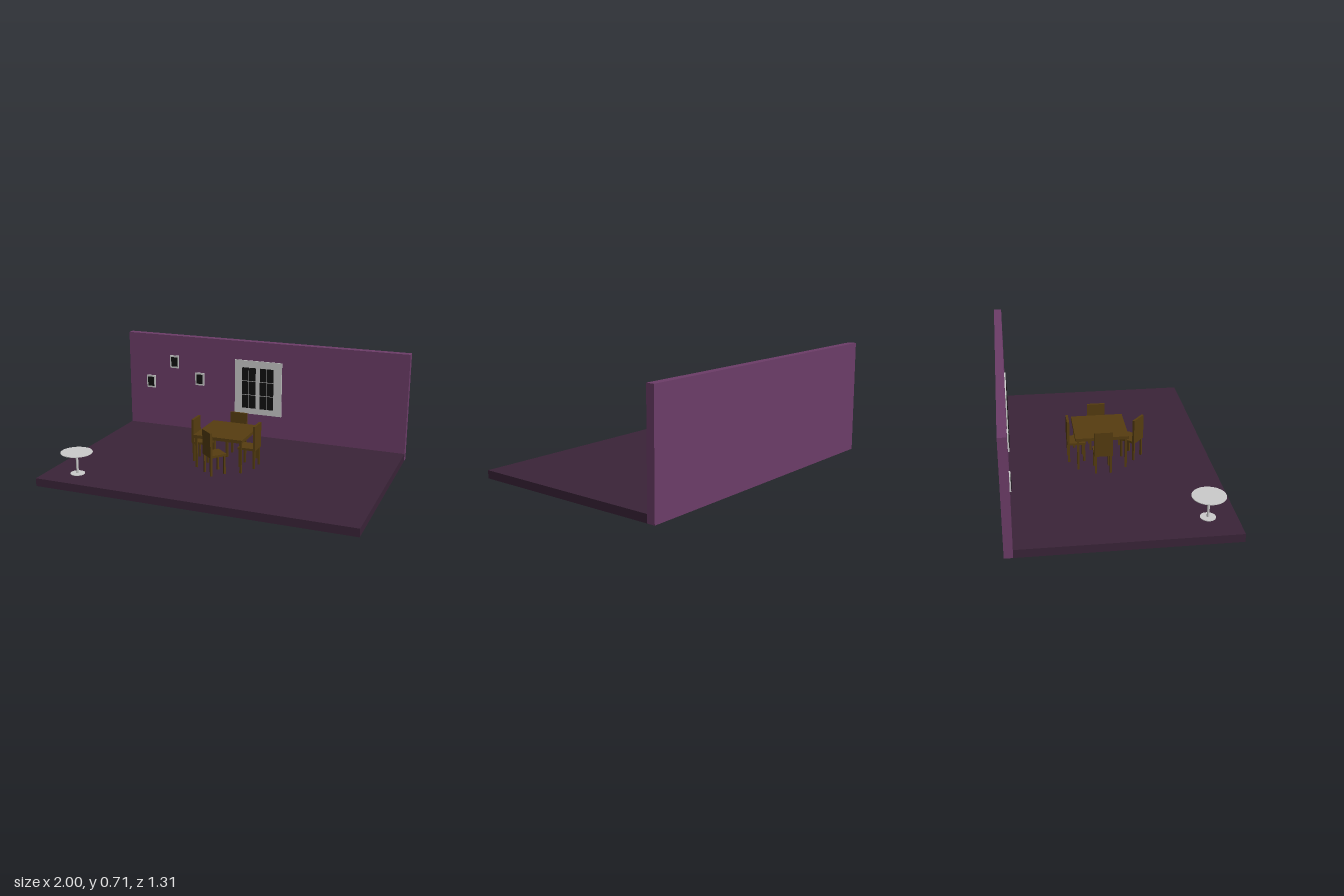
import * as THREE from 'three';

const mat = (color) => new THREE.MeshStandardMaterial({ color });
const grey = mat(0xcccccc), wood = mat(0x563d10), wallMat = mat(0x6c3d68);
const floorMat = mat(0x3a2438), dark = mat(0x101010);

const FLOOR = 0.05; // height of the floor surface
const WALL_Z = -0.605; // front face of the wall

function add(parent, name, geometry, material, x, y, z) {
  const m = new THREE.Mesh(geometry, material);
  m.name = name;
  m.position.set(x, y, z);
  parent.add(m);
  return m;
}

// box given by its extents [min, max] on each axis
function box(parent, name, material, [x0, x1], [y0, y1], [z0, z1]) {
  return add(parent, name, new THREE.BoxGeometry(x1 - x0, y1 - y0, z1 - z0), material,
    (x0 + x1) / 2, (y0 + y1) / 2, (z0 + z1) / 2);
}

function group(parent, name, x = 0, y = 0, z = 0) {
  const g = new THREE.Group();
  g.name = name;
  g.position.set(x, y, z);
  parent.add(g);
  return g;
}

// four square legs, mirrored about the middle
function legs(parent, name, dx, dz, height, size) {
  for (const sx of [-1, 1]) for (const sz of [-1, 1])
    add(parent, name, new THREE.BoxGeometry(size, height, size), wood, sx * dx, height / 2, sz * dz);
}

// chair with its backrest on the +z side before turning
function chair(parent, name, x, z, turn, scale = 1) {
  const g = group(parent, name, x, FLOOR, z);
  g.rotation.y = turn;
  g.scale.set(scale, 1, scale);
  const w = 0.0565, d = 0.0575;
  legs(g, 'chairLeg', w - 0.011, d - 0.01, 0.12, 0.013);
  box(g, 'seat', wood, [-w, w], [0.118, 0.132], [-d, d]);
  box(g, 'backrest', wood, [-w, w], [0.121, 0.277], [d - 0.014, d + 0.0005]);
}

function picture(parent, x, y) {
  const g = group(parent, 'picture', x, y, WALL_Z);
  box(g, 'pictureFrame', grey, [-0.033, 0.033], [-0.045, 0.045], [0, 0.008]);
  box(g, 'pictureCanvas', dark, [-0.023, 0.023], [-0.033, 0.033], [0, 0.011]);
}

export function createModel() {
  const room = new THREE.Group();
  room.name = 'diningRoom';

  // Floor and back wall
  box(room, 'floor', floorMat, [-1, 1], [0, FLOOR], [WALL_Z, 0.655]);
  box(room, 'wall', wallMat, [-1, 1], [0, 0.715], [-0.655, WALL_Z]);

  // Window: frame with two sashes of two by three panes
  const win = group(room, 'window');
  box(win, 'windowFrame', grey, [-0.19, 0.149], [0.208, 0.585], [WALL_Z, WALL_Z + 0.008]);
  for (const x0 of [-0.134, -0.006])
    for (let c = 0; c < 2; c++)
      for (let r = 0; r < 3; r++) {
        const x = x0 + c * 0.051, y = 0.25 + r * 0.097;
        box(win, 'windowPane', dark, [x, x + 0.046], [y, y + 0.092], [WALL_Z, WALL_Z + 0.012]);
      }

  // Pictures on the wall
  for (const [x, y] of [[-0.647, 0.528], [-0.455, 0.42], [-0.833, 0.37]]) picture(room, x, y);

  // Dining table
  const table = group(room, 'diningTable', -0.023, FLOOR, -0.032);
  box(table, 'tableTop', wood, [-0.16, 0.16], [0.196, 0.216], [-0.164, 0.164]);
  legs(table, 'tableLeg', 0.147, 0.147, 0.197, 0.013);

  // Chairs around the table, the front one turned askew
  chair(room, 'leftChair', 0.127, -0.031, Math.PI / 2);
  chair(room, 'rightChair', -0.185, -0.031, -Math.PI / 2);
  chair(room, 'backChair', -0.019, -0.18, Math.PI);
  chair(room, 'frontChair', -0.027, 0.17, -0.71, 0.96);

  // Round pedestal table
  const side = group(room, 'pedestalTable', -0.807, FLOOR, 0.489);
  const disc = (name, r, y0, y1) =>
    add(side, name, new THREE.CylinderGeometry(r, r, y1 - y0, 48), grey, 0, (y0 + y1) / 2, 0);
  disc('pedestalBase', 0.045, 0, 0.004);
  disc('pedestalStem', 0.0075, 0.004, 0.136);
  disc('pedestalTop', 0.098, 0.136, 0.14);

  return room;
}
